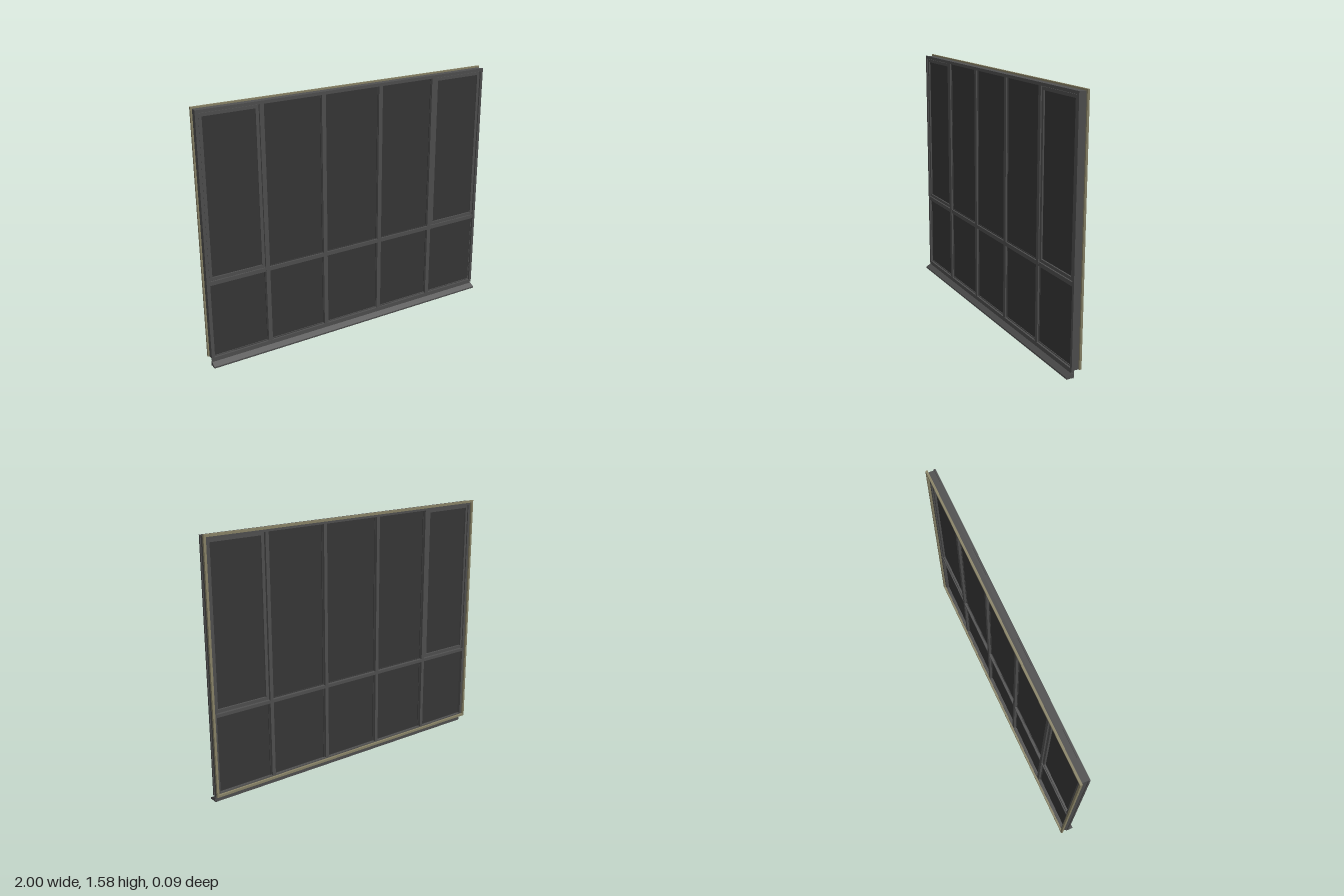
import * as THREE from 'three';

const mat = (color) => new THREE.MeshStandardMaterial({ color });

export function createModel() {
  const group = new THREE.Group();
  const metal = mat(0x505050), seal = mat(0x3c3c3c), glass = mat(0x373737), timber = mat(0x8a8468);

  const add = (name, geometry, material) => {
    const mesh = new THREE.Mesh(geometry, material);
    mesh.name = name;
    group.add(mesh);
    return mesh;
  };

  // box given by its limits on each axis
  const box = (name, x0, x1, y0, y1, z0, z1, material) =>
    add(name, new THREE.BoxGeometry(x1 - x0, y1 - y0, z1 - z0)
      .translate((x0 + x1) / 2, (y0 + y1) / 2, (z0 + z1) / 2), material);

  const rect = (P, x0, x1, y0, y1) => new P([
    new THREE.Vector2(x0, y0), new THREE.Vector2(x1, y0),
    new THREE.Vector2(x1, y1), new THREE.Vector2(x0, y1)]);

  // rectangular ring of width w between z0 and z1
  const ring = (name, x0, x1, y0, y1, w, z0, z1, material) => {
    const shape = rect(THREE.Shape, x0, x1, y0, y1);
    shape.holes.push(rect(THREE.Path, x0 + w, x1 - w, y0 + w, y1 - w));
    add(name, new THREE.ExtrudeGeometry(shape, { depth: z1 - z0, bevelEnabled: false })
      .translate(0, 0, z0), material);
  };

  // outer frame: front flange, deeper body and inner lining at the back
  ring('frameFlange', -0.995, 0.995, 0.04, 1.572, 0.018, 0.004, 0.015, metal);
  ring('frameBody', -0.99, 0.99, 0.045, 1.57, 0.02, -0.032, 0.004, metal);
  ring('timberLining', -1, 1, 0.046, 1.58, 0.014, -0.045, -0.032, timber);

  // mullions and transom: wide front cap with a narrower body behind
  const bars = [-0.6, -0.2, 0.2, 0.6];
  for (const x of bars) {
    box('mullionCap', x - 0.0135, x + 0.0135, 0.05, 1.565, 0.002, 0.014, metal);
    box('mullionBody', x - 0.011, x + 0.011, 0.05, 1.565, -0.03, 0.002, metal);
  }
  box('transomCap', -0.985, 0.985, 0.53, 0.555, 0.002, 0.0135, metal);
  box('transomBody', -0.985, 0.985, 0.533, 0.552, -0.0295, 0.002, metal);

  // panes with thin gaskets; the end upper bays carry opening sashes
  const edges = [-0.988, ...bars, 0.988];
  for (let i = 0; i < 5; i++) {
    const last = edges.length - 2;
    const x0 = edges[i] + (i === 0 ? 0.011 : 0.0135);
    const x1 = edges[i + 1] - (i === last ? 0.011 : 0.0135);
    for (const [y0, y1, upper] of [[0.058, 0.53, false], [0.555, 1.554, true]]) {
      box('glassPane', x0 - 0.002, x1 + 0.002, y0 - 0.002, y1 + 0.002, -0.012, 0, glass);
      ring('gasket', x0, x1, y0, y1, 0.005, -0.016, 0.004, seal);
      if (upper && (i === 0 || i === last)) {
        ring('sashFrame', x0 + 0.003, x1 - 0.003, y0 + 0.003, y1 - 0.003, 0.019, -0.024, 0.009, metal);
      }
    }
  }

  // sill: upright under the frame with a sloping drip nose
  const extrudeAlongX = (name, points, half, material) => {
    const shape = new THREE.Shape(points.map(([z, y]) => new THREE.Vector2(z, y)));
    add(name, new THREE.ExtrudeGeometry(shape, { depth: 2 * half, bevelEnabled: false })
      .rotateY(-Math.PI / 2).translate(half, 0, 0), material);
  };
  extrudeAlongX('sillUpright', [[-0.005, 0.001], [0.013, 0.001], [0.013, 0.045], [-0.005, 0.045]], 0.988, metal);
  extrudeAlongX('sillNose', [[0, 0], [0.01, 0.004], [0.045, 0.002], [0.045, 0.012], [0.013, 0.03], [0, 0.03]], 0.994, metal);

  return group;
}
